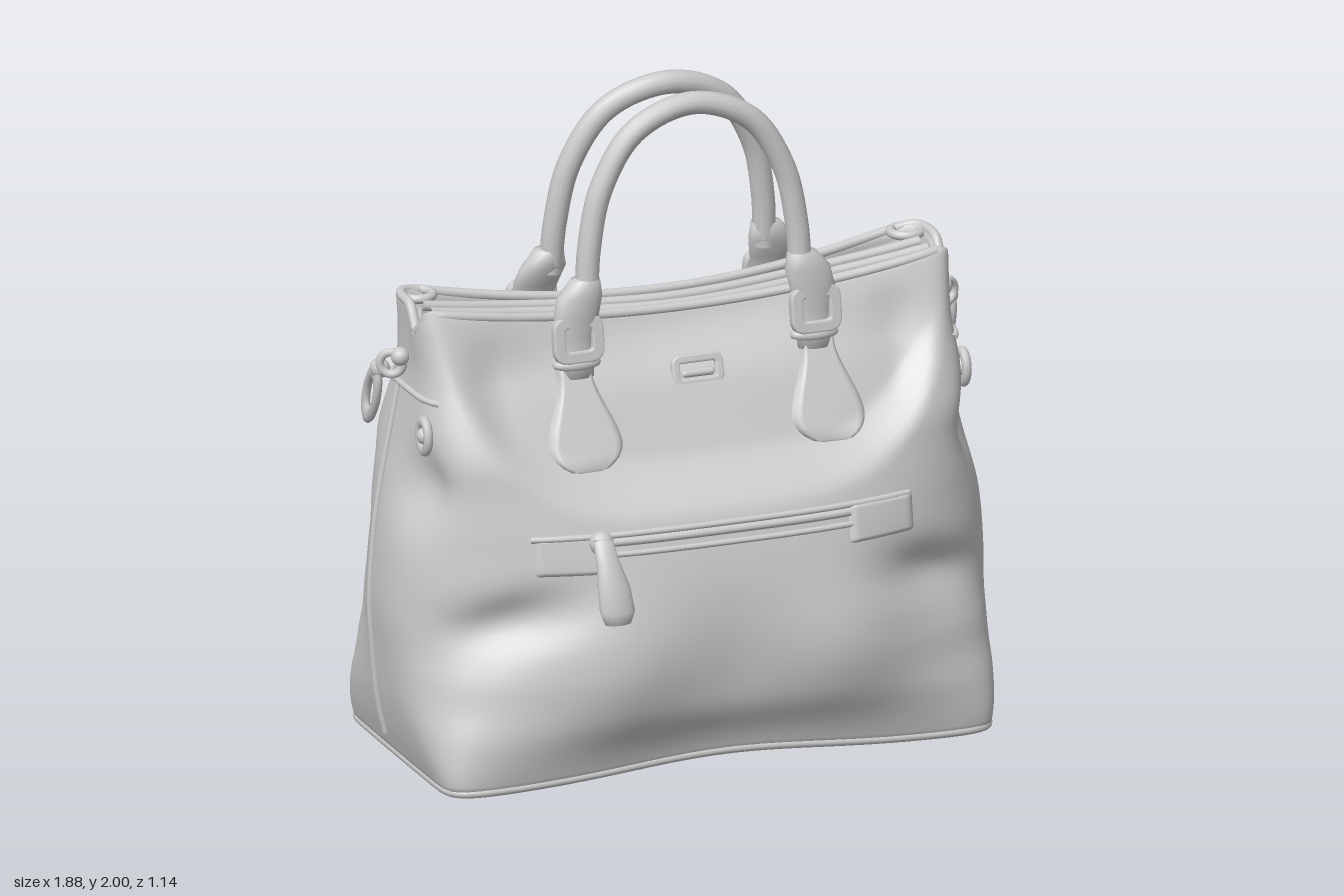
import * as THREE from 'three';
import { mergeVertices } from 'three/addons/utils/BufferGeometryUtils.js';

const mat = new THREE.MeshStandardMaterial({ color: 0xcccccc, roughness: 0.7 });
const matDouble = new THREE.MeshStandardMaterial({ color: 0xcccccc, roughness: 0.7, side: THREE.DoubleSide });
const V = (x, y, z) => new THREE.Vector3(x, y, z);
const smooth = THREE.MathUtils.smoothstep;
const bump = (d, w) => Math.exp(-((d / w) ** 2));

function add(parent, name, geometry, material = mat) {
  const m = new THREE.Mesh(geometry, material);
  m.name = name;
  parent.add(m);
  return m;
}

// Smooth surface from fn(u, v) -> [x, y, z]
function grid(fn, nu, nv) {
  const pos = [], idx = [];
  for (let j = 0; j <= nv; j++) for (let i = 0; i <= nu; i++) pos.push(...fn(i / nu, j / nv));
  for (let j = 0; j < nv; j++) for (let i = 0; i < nu; i++) {
    const a = j * (nu + 1) + i, b = a + nu + 1;
    idx.push(a, a + 1, b + 1, a, b + 1, b);
  }
  let g = new THREE.BufferGeometry();
  g.setAttribute('position', new THREE.Float32BufferAttribute(pos, 3));
  g.setIndex(idx);
  g = mergeVertices(g, 1e-5);
  g.computeVertexNormals();
  return g;
}

const tube = (pts, r, closed = false, n = 64) =>
  new THREE.TubeGeometry(new THREE.CatmullRomCurve3(pts, closed), n, r, 12, closed);

// Loft of oval rings [x, y, z, rx, rz], listed from bottom to top
const loft = (rings) => grid((u, v) => {
  const [x, y, z, rx, rz] = rings[Math.round(v * (rings.length - 1))], t = u * Math.PI * 2;
  return [x + rx * Math.sin(t), y, z + rz * Math.cos(t)];
}, 20, rings.length - 1);

// Body profile by height: half width, front depth, back depth, squareness
const heights = [0.015, 0.1, 0.2, 0.35, 0.48, 0.6, 0.75, 0.9, 1.0, 1.2, 1.3, 1.41];
const profile = new THREE.CubicInterpolant(heights, [
  0.86, 0.43, 0.43, 14, 0.885, 0.45, 0.465, 8, 0.905, 0.475, 0.5, 4.6, 0.92, 0.495, 0.54, 3,
  0.93, 0.5, 0.555, 2.6, 0.925, 0.49, 0.545, 2.55, 0.91, 0.455, 0.485, 2.7, 0.885, 0.40, 0.39, 3.3,
  0.865, 0.355, 0.335, 4.2, 0.83, 0.26, 0.23, 4.5, 0.83, 0.205, 0.185, 5, 0.835, 0.145, 0.165, 6], 4);

// Folds, dents and the sagging rim of the soft leather
function soften(x, y, z) {
  const ax = Math.abs(x), top = smooth(y, 1.18, 1.41);
  const front = smooth(z, 0.08, 0.3), back = smooth(-z, 0.08, 0.3), side = smooth(ax, 0.6, 0.85);
  const mid = smooth(y, 0.08, 0.3) * (1 - smooth(y, 0.6, 0.9)), low = 1 - smooth(y, 0.02, 0.25);
  const smile = smooth(y - x ** 4, 0.79, 0.95) * (1 - top) * (1 - smooth(ax, 0.6, 0.8));
  z += front * (0.045 * bump(ax - 0.36, 0.22) * bump(y - 0.36, 0.2)
    - 0.06 * bump(ax - 0.66, 0.18) * bump(y - 0.51 + 0.25 * (ax - 0.66), 0.085)) - smooth(z, 0.02, 0.2) * 0.08 * smile;
  z -= back * (0.035 * bump(ax - 0.42, 0.22) * bump(y - 0.45, 0.25) - 0.01 * bump(x, 0.2) * mid
    - 0.04 * smile);
  z *= 1 - 0.05 * low * bump(x, 0.4);
  x -= Math.sign(x) * side * (0.06 * bump(z - 0.17, 0.1) * bump(y - 0.89, 0.12)
    + 0.025 * bump(z + 0.2, 0.1) * bump(y - 0.55, 0.25));
  const k = Math.min(1, (ax / 0.8) ** 2);
  z *= 1 - 0.42 * top * (1 - k);
  y += low * bump(x, 0.45) * (0.035 * front + 0.02 * back);
  y -= 0.09 * (1 - k) * smooth(y, 1.1, 1.41) + 0.07 * top * side * bump(z - 0.055, 0.035);
  return [x, y, z];
}

// Point u around the body at a height; inset shrinks the loop, kx and kz scale it
function bodyPoint(u, y, inset = 0, kx = 1, kz = 1) {
  const [a, zf, zb, n] = profile.evaluate(y);
  const side = Math.floor(u * 4) % 4, t = (u * 4) % 1 * 2 - 1;
  const [p, q] = [[t, 1], [1, -t], [-t, -1], [-1, t]][side];
  const r = (Math.abs(p) ** n + Math.abs(q) ** n) ** (1 / n);
  return soften((a - inset) * p / r * kx, y, ((q > 0 ? zf : zb) - inset) * q / r * kz);
}

// Depth of the front (s = 1) or back (s = -1) at x, y, and width of the side at z, y
function faceZ(x, y, s) {
  const [a, zf, zb, n] = profile.evaluate(y);
  return soften(x, y, s * (s > 0 ? zf : zb) * Math.max(0, 1 - (Math.abs(x) / a) ** n) ** (1 / n))[2];
}
function sideX(z, y) {
  const [a, zf, zb, n] = profile.evaluate(y);
  return soften(a * Math.max(0, 1 - (Math.abs(z) / (z > 0 ? zf : zb)) ** n) ** (1 / n), y, z)[0];
}

// Padded leather patch that follows the body; half(v) is its half width
const patch = (cx, y0, y1, half, thick, s) => grid((u, v) => {
  const y = y0 + (y1 - y0) * v, w = u * 2 - 1, x = cx + s * w * half(v);
  const edge = Math.min(1, 5 * (1 - Math.abs(w))) * Math.min(1, 8 * v, 8 * (1 - v));
  return [x, y, faceZ(x, y, s) + s * (-0.01 + (thick + 0.01) * Math.sqrt(edge))];
}, 20, 24);

// Metal frame with rounded corners
function frame(w, h, bar, depth) {
  const rounded = (P, a, b, r) => new P().moveTo(-a + r, -b).lineTo(a - r, -b).quadraticCurveTo(a, -b, a, -b + r)
    .lineTo(a, b - r).quadraticCurveTo(a, b, a - r, b).lineTo(-a + r, b).quadraticCurveTo(-a, b, -a, b - r)
    .lineTo(-a, -b + r).quadraticCurveTo(-a, -b, -a + r, -b);
  const s = rounded(THREE.Shape, w / 2, h / 2, h * 0.3);
  s.holes.push(rounded(THREE.Path, w / 2 - bar, h / 2 - bar, h * 0.15));
  return new THREE.ExtrudeGeometry(s, { depth, bevelSize: 0.006, bevelThickness: 0.006, bevelSegments: 2, curveSegments: 6 });
}

// Carrying handle with straps, buckles and teardrop patches
function makeHandle(s) {
  const g = new THREE.Group();
  g.name = s > 0 ? 'frontHandle' : 'backHandle';
  const [z0, z1, z2] = s > 0 ? [0.165, 0.155, 0.147] : [-0.125, -0.095, -0.05];
  const arch = [[0.335, 1.4, z0], [0.325, 1.56, (z0 + z1) / 2], [0.285, 1.74, z1], [0.18, 1.9, (z1 + z2) / 2]];
  add(g, 'handleGrip', tube([...arch.map(([x, y, z]) => V(-x, y, z)), V(0, 1.965, z2),
    ...arch.reverse().map(([x, y, z]) => V(x, y, z))], 0.035, false, 90));
  for (const m of [-1, 1]) {
    const cx = m * 0.372, zb = s > 0 ? 0.155 : -0.155;
    add(g, 'handlePatch', patch(cx + m * 0.008, 0.92, 1.24, (v) =>
      v < 0.25 ? 0.12 * Math.sqrt(Math.max(0, 1 - ((0.25 - v) / 0.25) ** 2)) : 0.12 - 0.065 * smooth(v, 0.22, 0.85), 0.02, s));
    add(g, 'handleStrap', loft([[cx, 1.18, zb, 0, 0], [cx, 1.18, zb + s * 0.03, 0.052, 0.028], [cx, 1.24, zb + s * 0.02, 0.056, 0.028],
      [cx, 1.3, zb + s * 0.015, 0.056, 0.028], [m * 0.37, 1.36, (zb + z0) / 2 + s * 0.012, 0.07, 0.035],
      [m * 0.357, 1.42, z0, 0.07, 0.04], [m * 0.34, 1.47, z0, 0.045, 0.038], [m * 0.335, 1.48, z0, 0, 0]]));
    const b = add(g, 'handleBuckle', frame(0.145, 0.13, 0.025, 0.02));
    b.position.set(cx, 1.295, s > 0 ? zb + 0.025 : zb - 0.043);
    b.rotation.x = -s * 0.15;
    const keeper = add(g, 'strapKeeper', new THREE.TorusGeometry(0.062, 0.013, 8, 28));
    keeper.rotation.x = Math.PI / 2;
    keeper.scale.y = 0.5;
    keeper.position.set(cx, 1.22, zb + s * 0.025);
  }
  return g;
}

// Snap hook, stud and seams on one side
function makeSideHardware(m) {
  const g = new THREE.Group();
  g.name = m > 0 ? 'leftHardware' : 'rightHardware';
  const ring = add(g, 'hookRing', new THREE.TorusGeometry(0.034, 0.013, 10, 24));
  ring.position.set(0.87, 1.215, -0.03);
  ring.rotation.y = 0.5;
  add(g, 'hookKnob', new THREE.SphereGeometry(0.03, 14, 10)).position.set(0.89, 1.19, -0.07);
  add(g, 'hookTab', new THREE.SphereGeometry(0.028, 14, 10)).position.set(0.85, 1.24, -0.01);
  const hook = new THREE.Group();
  hook.name = 'snapHook';
  hook.position.set(0.9, 1.1, -0.11);
  hook.rotation.x = 0.45;
  const loop = add(hook, 'hookLoop', new THREE.TorusGeometry(0.036, 0.013, 10, 28));
  loop.rotation.y = Math.PI / 2;
  loop.scale.y = 2.3;
  g.add(hook);
  const sx = sideX(0.165, 1.05);
  const stud = add(g, 'sideStud', new THREE.TorusGeometry(0.034, 0.014, 10, 24));
  stud.rotation.y = Math.PI / 2;
  stud.scale.y = 1.3;
  stud.position.set(sx + 0.008, 1.05, 0.165);
  add(g, 'studCap', new THREE.SphereGeometry(0.026, 14, 10)).position.set(sx + 0.005, 1.05, 0.165);
  const at = (z, y) => V(m * (sideX(z, y) + 0.002), y, z);
  const span = (a, b) => Array.from({ length: 17 }, (_, i) => a + (b - a) * i / 16);
  add(g, 'sideSeam', tube(span(0.07, 1.15).map((y) => at(-0.05, y)), 0.01));
  add(g, 'topSeam', tube(span(-0.16, 0.19).map((z) => at(z, 1.15)), 0.01));
  // mirror the hardware across the bag
  for (const o of g.children) if (m < 0) { o.position.x *= -1; o.rotation.y *= -1; }
  return g;
}

export function createModel() {
  const bag = new THREE.Group();
  bag.name = 'handbag';

  // Body: base, outer wall, rim and recessed lining
  const rows = [0.001, 0.25, 0.5, 0.75, 0.95].map((k) => [0.015, 0, k, k]);
  for (let i = 0; i <= 64; i++) rows.push([0.015 + 1.395 * i / 64, 0, 1, 1]);
  rows.push([1.41, 0.025, 1, 1], [1.38, 0.03, 1, 1], [1.35, 0.03, 1, 1], [1.345, 0.03, 1, 0.5], [1.345, 0.03, 1, 0.001]);
  add(bag, 'body', grid((u, v) => bodyPoint(u, ...rows[Math.round(v * (rows.length - 1))]), 192, rows.length - 1), matDouble);

  // Piping round the base and the rim
  const loop = (y, inset) => Array.from({ length: 96 }, (_, i) => V(...bodyPoint(i / 96, y, inset)));
  add(bag, 'basePiping', tube(loop(0.016, 0.008), 0.014, true, 240));
  add(bag, 'rimPiping', tube(loop(1.405, 0.012), 0.015, true, 240));

  // Inner panels standing in the opening
  for (const z of [0.04, -0.025]) {
    const edge = (x) => 1.315 + 0.07 * (x / 0.78) ** 2, wave = (x) => z + 0.01 * Math.cos(x * 7);
    add(bag, 'innerPanel', grid((u, v) => {
      const x = (u * 2 - 1) * 0.78;
      return [x, edge(x) - 0.08 * (1 - v), wave(x)];
    }, 40, 4), matDouble);
    add(bag, 'innerPanelEdge', tube(Array.from({ length: 17 }, (_, i) => (i / 8 - 1) * 0.78)
      .map((x) => V(x, edge(x), wave(x))), 0.016));
  }
  // Rolled corners of the back compartment
  for (const m of [-1, 1]) {
    const roll = add(bag, 'rolledCorner', new THREE.TorusGeometry(0.045, 0.014, 10, 28));
    roll.rotation.x = Math.PI / 2;
    roll.position.set(m * 0.765, 1.395, -0.09);
  }

  bag.add(makeHandle(1), makeHandle(-1), makeSideHardware(1), makeSideHardware(-1));

  // Front zip pocket
  const pocket = new THREE.Group();
  pocket.name = 'zipPocket';
  const line = (x0, x1, y) => Array.from({ length: 17 }, (_, i) => x0 + (x1 - x0) * i / 16)
    .map((x) => V(x, y, faceZ(x, y, 1) + 0.003));
  add(pocket, 'upperLip', tube(line(-0.6, 0.58, 0.77), 0.01));
  add(pocket, 'zipTeeth', tube(line(-0.4, 0.38, 0.75), 0.013));
  add(pocket, 'lowerLip', tube(line(-0.4, 0.4, 0.715), 0.009));
  add(pocket, 'leftEndTab', patch(0.485, 0.655, 0.78, () => 0.115, 0.016, 1));
  add(pocket, 'rightEndTab', patch(-0.49, 0.655, 0.78, () => 0.11, 0.008, 1));
  add(pocket, 'zipSlider', new THREE.SphereGeometry(0.036, 16, 12)).position.set(-0.4, 0.755, 0.45);
  add(pocket, 'zipPull', loft([[-0.385, 0.53, 0.545, 0, 0], [-0.385, 0.535, 0.545, 0.04, 0.02], [-0.385, 0.57, 0.54, 0.054, 0.028],
    [-0.39, 0.64, 0.525, 0.05, 0.028], [-0.4, 0.71, 0.505, 0.036, 0.024], [-0.405, 0.77, 0.475, 0.03, 0.02], [-0.405, 0.78, 0.47, 0, 0]]));
  bag.add(pocket);

  // Small metal plate on the front
  const zp = faceZ(0, 1.18, 1);
  const plate = add(bag, 'frontPlate', frame(0.15, 0.085, 0.014, 0.01));
  plate.position.set(0, 1.155, zp);
  plate.rotation.x = -0.3;
  add(bag, 'plateBar', new THREE.CapsuleGeometry(0.012, 0.08, 6, 12).rotateZ(Math.PI / 2)).position.set(0, 1.15, zp + 0.01);
  return bag;
}
